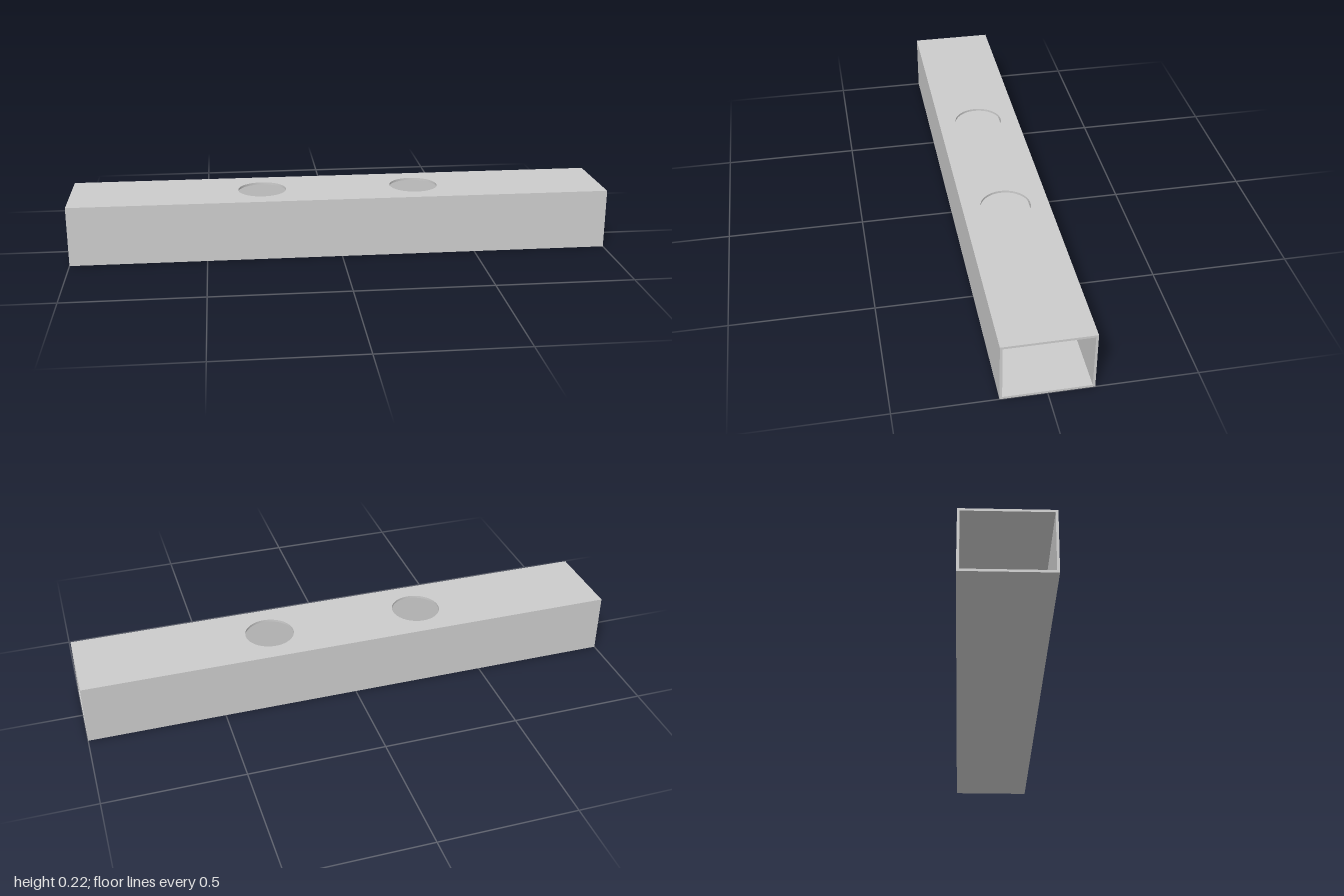
import * as THREE from 'three';

const LENGTH = 2, WIDTH = 0.311, HEIGHT = 0.222, WALL = 0.0085;
const HOLE_X = 0.288, HOLE_RADIUS = 0.09;

export function createModel() {
  const model = new THREE.Group();
  model.name = 'rectangularTube';
  const material = new THREE.MeshStandardMaterial({ color: 0xcccccc });
  const w = WIDTH / 2, l = LENGTH / 2, top = HEIGHT - WALL;

  const addPart = (name, geometry) => {
    const mesh = new THREE.Mesh(geometry, material);
    mesh.name = name;
    model.add(mesh);
  };
  const outline = (points) => new THREE.Shape(points.map(([x, y]) => new THREE.Vector2(x, y)));

  // Floor and side walls: a U section swept along x
  const section = outline([
    [-w, 0], [w, 0], [w, top], [w - WALL, top],
    [w - WALL, WALL], [-w + WALL, WALL], [-w + WALL, top], [-w, top],
  ]);
  const channel = new THREE.ExtrudeGeometry(section, { depth: LENGTH, bevelEnabled: false });
  channel.translate(0, 0, -l).rotateY(Math.PI / 2);
  addPart('channel', channel);

  // Top wall with two round through-holes
  const plate = outline([[-l, -w], [l, -w], [l, w], [-l, w]]);
  for (const side of [-1, 1]) {
    plate.holes.push(new THREE.Path().absarc(side * HOLE_X, 0, HOLE_RADIUS, 0, Math.PI * 2, true));
  }
  const topWall = new THREE.ExtrudeGeometry(plate, { depth: WALL, bevelEnabled: false, curveSegments: 64 });
  topWall.rotateX(-Math.PI / 2).translate(0, top, 0);
  addPart('topWall', topWall);

  return model;
}
